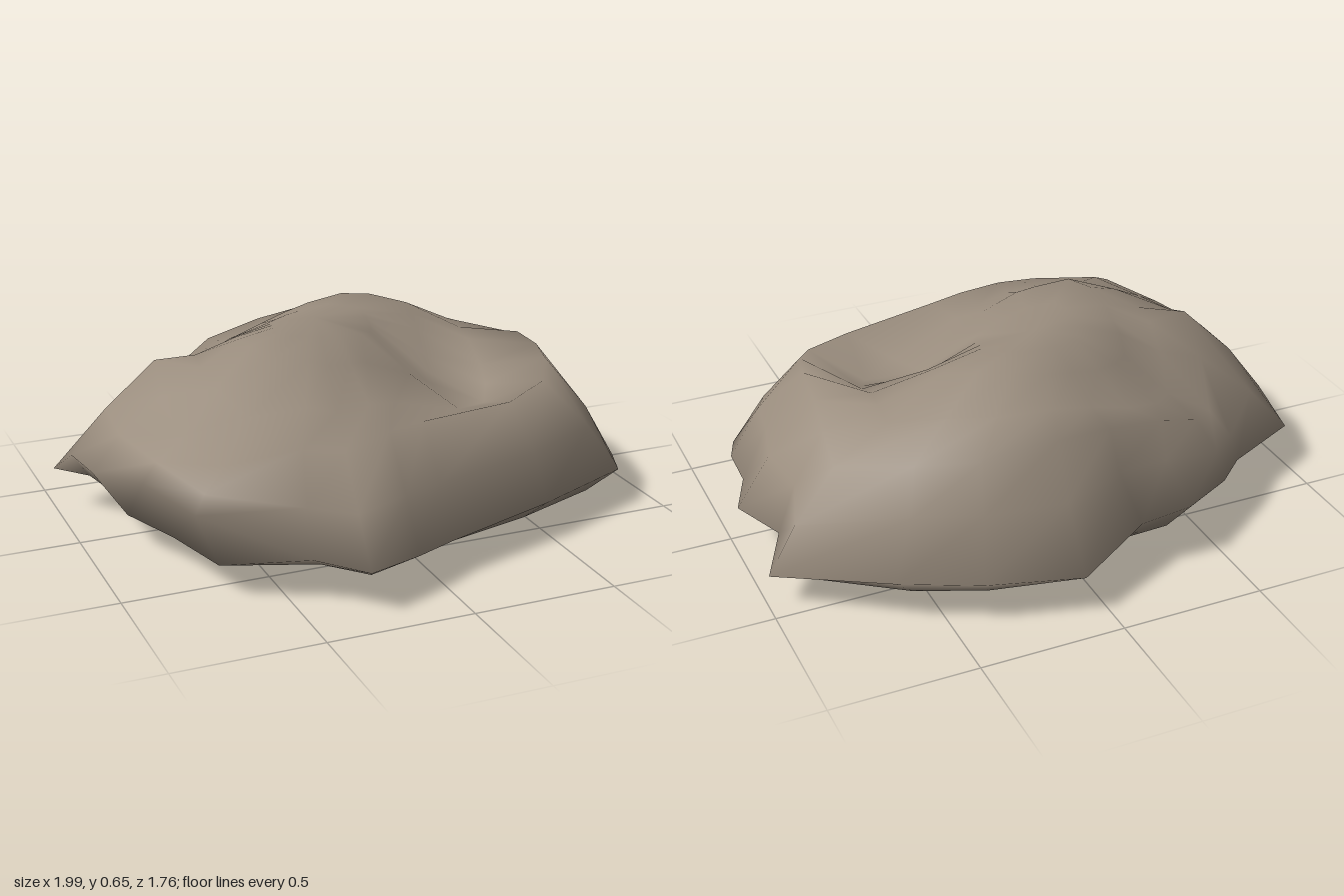
import * as THREE from 'three';

// Columns around the boulder: rim x, z, y, then shoulder x, z, y
const columns = [
  [0.98, -0.05, 0.15, 0.70, -0.08, 0.52],
  [0.91, 0.12, 0.15, 0.68, 0.10, 0.53],
  [0.90, 0.30, 0.14, 0.65, 0.22, 0.52],
  [0.86, 0.41, 0.13, 0.58, 0.34, 0.48],
  [0.48, 0.58, 0.13, 0.40, 0.44, 0.46],
  [0.05, 0.72, 0.12, 0.04, 0.52, 0.47],
  [-0.10, 0.80, 0.13, -0.10, 0.56, 0.47],
  [-0.30, 0.88, 0.14, -0.28, 0.62, 0.45],
  [-0.44, 0.74, 0.15, -0.41, 0.58, 0.46],
  [-0.79, 0.64, 0.32, -0.66, 0.55, 0.43],
  [-0.87, 0.35, 0.33, -0.72, 0.30, 0.45],
  [-0.97, 0.10, 0.29, -0.71, 0.05, 0.51],
  [-0.97, -0.18, 0.25, -0.68, -0.11, 0.58],
  [-1.00, -0.33, 0.15, -0.68, -0.24, 0.46],
  [-0.71, -0.48, 0.16, -0.62, -0.42, 0.35],
  [-0.60, -0.58, 0.16, -0.52, -0.50, 0.38],
  [-0.38, -0.73, 0.20, -0.33, -0.59, 0.47],
  [-0.20, -0.73, 0.18, -0.12, -0.63, 0.51],
  [0.08, -0.88, 0.14, 0.08, -0.66, 0.53],
  [0.40, -0.80, 0.15, 0.34, -0.65, 0.51],
  [0.65, -0.68, 0.15, 0.52, -0.53, 0.47],
  [0.99, -0.42, 0.11, 0.74, -0.38, 0.44],
  [0.90, -0.25, 0.15, 0.72, -0.22, 0.48],
];

// The crown is highest along a line from front left to back right
const ridge = new THREE.Line3(
  new THREE.Vector3(-0.36, 0, 0.05),
  new THREE.Vector3(0.18, 0, -0.36),
);

// Crown height: falls away from the ridge, steeper at the back, with a hollow on the left
function crownHeight(x, z) {
  const p = new THREE.Vector3(x, 0, z);
  const near = ridge.closestPointToPoint(p, true, new THREE.Vector3());
  const fall = (z < near.z ? 1.3 : 0.75) * near.distanceToSquared(p);
  const hollow = 0.1 * Math.exp(-((x - 0.32) ** 2 + (z - 0.08) ** 2) / 0.03);
  return 0.65 - fall - hollow;
}

const centre = { x: -0.08, z: -0.15 };
const bottom = new THREE.Vector3(-0.05, 0, 0);
const peak = new THREE.Vector3(centre.x, crownHeight(centre.x, centre.z), centre.z);

// One profile from the flat base, over the rim and shoulder, to the crown
function profile([rx, rz, ry, sx, sz, sy]) {
  const rim = new THREE.Vector3(rx, ry, rz);
  const shoulder = new THREE.Vector3(sx, sy, sz);
  // The underside rises towards the right and steps down to a smaller base
  const base = new THREE.Vector3(Math.max(rx * 0.54, -0.51), 0.01, rz * 0.54);
  const step = new THREE.Vector3(rx * 0.68, 0.05 - 0.03 * rx, rz * 0.7);
  const under = new THREE.Vector3(rx * 0.88, 0.08 - 0.035 * rx, rz * 0.9);
  // The flank is hollow at the back and full elsewhere
  const bulge = rz < -0.6 ? 0.95 : 1.03;
  const side = rim.clone().lerp(shoulder, 0.5);
  side.x *= bulge;
  side.z *= bulge;
  const crown = (t, weight) => {
    const x = THREE.MathUtils.lerp(sx, centre.x, t);
    const z = THREE.MathUtils.lerp(sz, centre.z, t);
    return new THREE.Vector3(x, THREE.MathUtils.lerp(sy, crownHeight(x, z), weight), z);
  };
  return [base, step, under, rim, side, shoulder,
    crown(0.25, 0.7), crown(0.5, 1), crown(0.75, 1)];
}

function boulderGeometry() {
  const profiles = columns.map(profile);
  const n = profiles.length;
  const rings = profiles[0].length;
  const points = [];
  const index = [];
  for (let j = 0; j < rings; j++) {
    for (let i = 0; i < n; i++) points.push(profiles[i][j]);
  }
  points.push(bottom, peak);
  const top = (rings - 1) * n;
  for (let i = 0; i < n; i++) {
    const k = (i + 1) % n;
    for (let j = 0; j < rings - 1; j++) {
      const a = j * n + i, b = a + n, c = j * n + k, d = c + n;
      index.push(a, b, c, c, b, d);
    }
    // Close the base and the crown
    index.push(n * rings, i, k);
    index.push(top + i, n * rings + 1, top + k);
  }
  const geometry = new THREE.BufferGeometry().setFromPoints(points);
  geometry.setIndex(index);
  geometry.computeVertexNormals();
  return geometry;
}

export function createModel() {
  const stone = new THREE.MeshStandardMaterial({ color: 0x9a8d7e });
  stone.name = 'stone';
  const boulder = new THREE.Mesh(boulderGeometry(), stone);
  boulder.name = 'boulder';
  const group = new THREE.Group();
  group.name = 'rock';
  group.add(boulder);
  return group;
}
